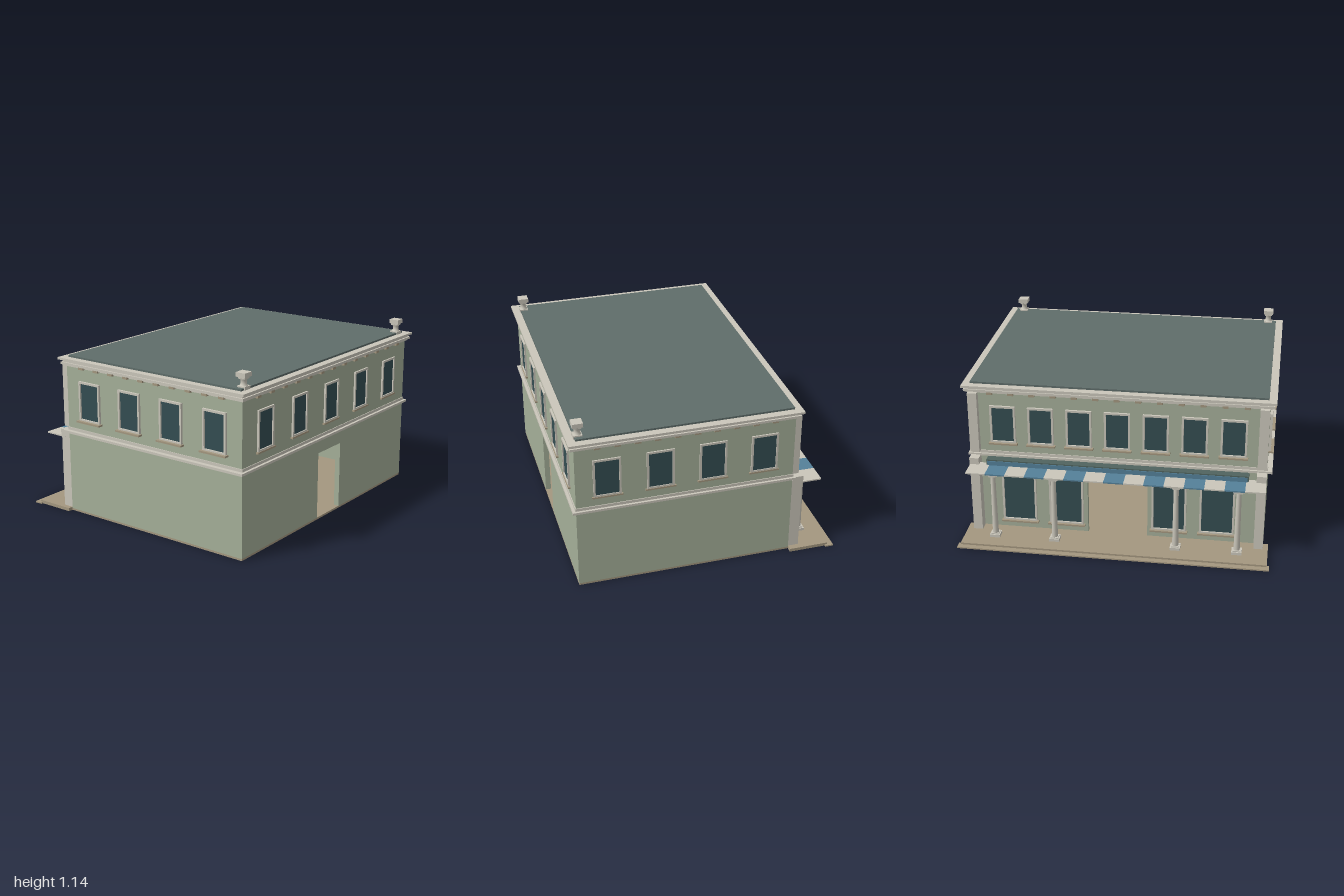
import * as THREE from 'three';

const mat = (name, color, extra = {}) => {
  const m = new THREE.MeshStandardMaterial({ color, ...extra });
  m.name = name;
  return m;
};

export function createModel() {
  const wallGreen = mat('wall green', 0xa5af99);
  const stone = mat('pale stone', 0xcac6ba);
  const tan = mat('tan floor', 0xa4977f);
  const slate = mat('slate roof', 0x5f6d6a);
  const teal = mat('fascia teal', 0x50645f);
  const glass = mat('dark glass', 0x344d52);
  const blue = mat('awning blue', 0x548099);

  const model = new THREE.Group();
  model.name = 'shopBuilding';

  // Box given by its min and max on each axis
  const box = (name, m, x0, x1, y0, y1, z0, z1, parent = model) => {
    const mesh = new THREE.Mesh(new THREE.BoxGeometry(x1 - x0, y1 - y0, z1 - z0), m);
    mesh.position.set((x0 + x1) / 2, (y0 + y1) / 2, (z0 + z1) / 2);
    mesh.name = name;
    parent.add(mesh);
    return mesh;
  };

  const CX = -0.003, L = -0.952, R = 0.946, F = 0.818, B = -0.56, T = 0.035;

  // Floor, porch and step
  box('floorSlab', tan, L, R, 0, 0.013, B, F);
  box('porchFloor', tan, -0.985, 0.985, 0, 0.021, -0.817, B);
  box('porchStep', tan, -1, 1, 0, 0.009, -0.853, -0.8);

  // Front and back walls with a doorway cut up from the bottom edge
  const doorWall = (name, z, half, top) => {
    const s = new THREE.Shape();
    [[L, 0.013], [CX - half, 0.013], [CX - half, top], [CX + half, top], [CX + half, 0.013],
      [R, 0.013], [R, 1], [L, 1]].forEach(([x, y], i) => (i ? s.lineTo(x, y) : s.moveTo(x, y)));
    const g = new THREE.ExtrudeGeometry(s, { depth: T, bevelEnabled: false });
    const mesh = new THREE.Mesh(g, wallGreen);
    mesh.position.z = z;
    mesh.name = name;
    model.add(mesh);
  };
  doorWall('frontWall', F - T, 0.131, 0.45);
  doorWall('backWall', B, 0.195, 0.45);
  box('rightWall', wallGreen, R - T, R, 0.013, 1, B + T, F - T);
  box('leftWall', wallGreen, L, L + T, 0.013, 1, B + T, F - T);
  box('ceiling', stone, L + T, R - T, 0.545, 0.56, B + T, F - T);

  // Belt course, cornice and roof
  box('beltLower', stone, -0.985, 0.966, 0.541, 0.556, -0.578, 0.84);
  box('beltUpper', stone, L - 0.005, R + 0.005, 0.556, 0.574, B - 0.005, F + 0.005);
  box('corniceFrieze', stone, L - 0.01, R + 0.01, 0.98, 0.992, B - 0.01, F + 0.01);
  box('corniceLower', stone, -0.981, 0.974, 0.991, 1.006, -0.585, 0.844);
  box('corniceMiddle', stone, -0.97, 0.963, 1.006, 1.021, -0.577, 0.833);
  box('corniceUpper', stone, -0.991, 0.985, 1.021, 1.035, -0.602, 0.853);
  box('roof', slate, -0.942, 0.936, 1.03, 1.047, -0.553, 0.802);

  // Cornice brackets
  for (let i = 0; i < 13; i++) {
    const x = CX + (i - 6) * 0.135;
    box('frontBracket', tan, x - 0.018, x + 0.018, 0.974, 0.991, F, F + 0.022);
    box('backBracket', tan, x - 0.018, x + 0.018, 0.974, 0.991, B - 0.022, B);
  }
  for (let i = 0; i < 10; i++) {
    const z = 0.68 - i * 0.1225;
    box('rightBracket', tan, R, R + 0.018, 0.974, 0.991, z - 0.019, z + 0.019);
    box('leftBracket', tan, L - 0.022, L, 0.974, 0.991, z - 0.019, z + 0.019);
  }

  // Window with its back on the wall, facing local +z, origin at bottom centre
  const addWindow = (name, x, y, z, turn, w, h, depth, sill) => {
    const g = new THREE.Group();
    g.name = name;
    const b = 0.013, a = w / 2;
    box('windowGlass', glass, -a + b, a - b, b, h - b, 0, 0.004, g);
    for (const s of [-1, 1]) {
      const c = s * (a - b / 2);
      box('windowJamb', stone, c - b / 2, c + b / 2, 0, h, 0, depth, g);
    }
    box('windowHead', stone, -a + b, a - b, h - b, h, 0, depth, g);
    box('windowFoot', stone, -a + b, a - b, 0, b, 0, depth, g);
    box('windowSill', tan, -a - 0.01, a + 0.01, -0.008, 0.003, 0, sill, g);
    g.position.set(x, y, z);
    g.rotation.y = turn;
    model.add(g);
  };
  for (let i = -2; i <= 2; i++) addWindow('frontWindow', CX + i * 0.361, 0.637, F, 0, 0.16, 0.257, 0.012, 0.016);
  for (let i = -3; i <= 3; i++) addWindow('backWindow', CX + i * 0.245, 0.637, B, Math.PI, 0.165, 0.257, 0.015, 0.03);
  for (let i = 0; i < 4; i++) {
    const z = 0.623 - i * 0.3295;
    addWindow('rightWindow', R, 0.637, z, Math.PI / 2, 0.172, 0.258, 0.009, 0.012);
    addWindow('leftWindow', L, 0.637, z, -Math.PI / 2, 0.172, 0.258, 0.015, 0.034);
  }
  for (const x of [-0.645, -0.335, 0.335, 0.645]) {
    addWindow('shopWindow', CX + x, 0.075, B, Math.PI, 0.225, 0.35, 0.015, 0.03);
  }

  // Corner pilasters on the back, with caps
  for (const s of [-1, 1]) {
    const x0 = CX + s * 0.919 - 0.03, x1 = x0 + 0.06;
    box('upperPilaster', stone, x0, x1, 0.574, 0.985, -0.6, B);
    box('lowerPilaster', stone, x0, x1, 0.021, 0.5, -0.628, B);
    box('pilasterCap', stone, x0 - 0.001, x1 + 0.001, 0.5, 0.546, -0.634, B);
  }

  // Fascia over the shop front
  box('fascia', teal, -0.842, 0.836, 0.435, 0.54, -0.63, B);
  box('fasciaBoard', blue, -0.835, 0.829, 0.445, 0.532, -0.635, -0.63);

  // Striped awning
  const stripe = 1.896 / 15;
  for (let i = 0; i < 15; i++) {
    const x = -0.953 + i * stripe;
    box('awningStripe', i % 2 ? blue : stone, x, x + stripe, 0.494, 0.503, -0.758, -0.6);
  }

  // Porch columns
  const shaft = new THREE.CylinderGeometry(0.016, 0.02, 0.42, 12);
  for (const x of [-0.785, -0.392, 0.392, 0.785]) {
    const g = new THREE.Group();
    g.name = 'porchColumn';
    box('columnBase', stone, -0.033, 0.033, 0.021, 0.039, -0.033, 0.033, g);
    box('columnPlinth', stone, -0.025, 0.025, 0.039, 0.046, -0.025, 0.025, g);
    const m = new THREE.Mesh(shaft, stone);
    m.position.y = 0.255;
    m.name = 'columnShaft';
    g.add(m);
    box('columnNeck', stone, -0.024, 0.024, 0.458, 0.472, -0.024, 0.024, g);
    box('columnCapital', stone, -0.036, 0.036, 0.472, 0.494, -0.036, 0.036, g);
    g.position.set(CX + x, 0, -0.689);
    model.add(g);
  }

  // Roof finials on the front corners
  const neck = new THREE.LatheGeometry(
    [[0.026, 0], [0.019, 0.012], [0.018, 0.03], [0.026, 0.048]].map(([x, y]) => new THREE.Vector2(x, y)), 12);
  for (const s of [-1, 1]) {
    const g = new THREE.Group();
    g.name = 'roofFinial';
    box('finialBase', stone, -0.028, 0.028, 0, 0.02, -0.028, 0.028, g);
    const m = new THREE.Mesh(neck, stone);
    m.position.y = 0.02;
    m.name = 'finialNeck';
    g.add(m);
    box('finialCollar', stone, -0.024, 0.024, 0.062, 0.074, -0.024, 0.024, g);
    box('finialCap', stone, -0.033, 0.033, 0.074, 0.101, -0.033, 0.033, g);
    g.position.set(CX + s * 0.885, 1.035, 0.78);
    model.add(g);
  }

  return model;
}
